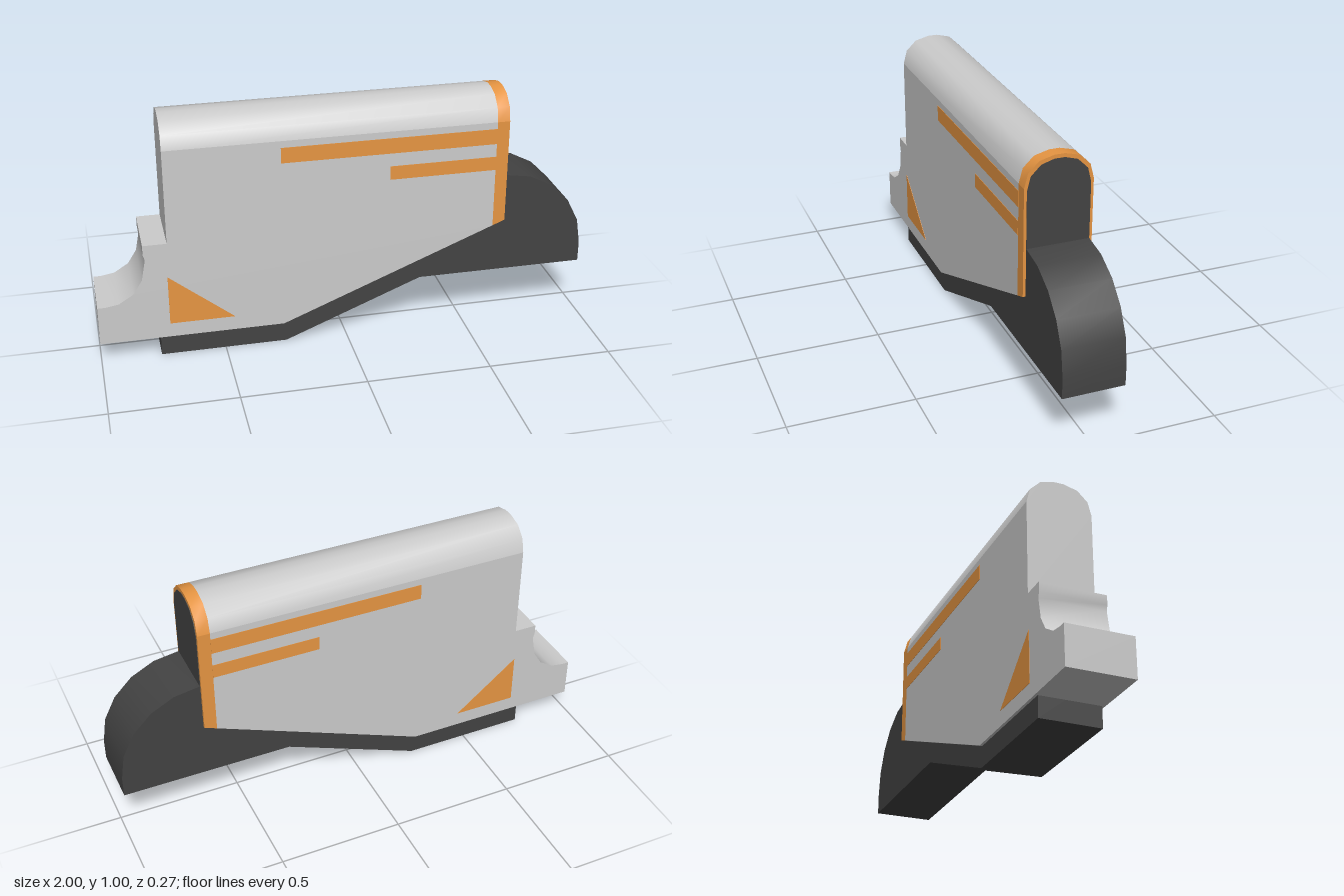
import * as THREE from 'three';
import { toCreasedNormals } from 'three/addons/utils/BufferGeometryUtils.js';

const grey = new THREE.MeshStandardMaterial({ color: 0xcccccc });
const orange = new THREE.MeshStandardMaterial({ color: 0xe69542 });
const dark = new THREE.MeshStandardMaterial({ color: 0x434343 });

const BODY_W = 0.268;   // width of the outer shell
const CORE_W = 0.246;   // width of the dark core
const DECAL_W = BODY_W + 0.003;

function extrude(points, depth) {
  const shape = new THREE.Shape(points.map(([x, y]) => new THREE.Vector2(x, y)));
  return new THREE.ExtrudeGeometry(shape, { depth, bevelEnabled: false });
}

function addMesh(group, name, geometry, material, crease) {
  const mesh = new THREE.Mesh(toCreasedNormals(geometry, crease), material);
  mesh.name = name;
  group.add(mesh);
}

// side profile (x, y) given a width, centred on z
function addProfile(group, name, points, width, material, crease = 0.36) {
  const geometry = extrude(points, width);
  geometry.translate(0, 0, -width / 2);
  addMesh(group, name, geometry, material, crease);
}

// cross-section (z, y) run along x
function addRun(group, name, points, x0, x1, material) {
  const geometry = extrude(points, x1 - x0);
  geometry.rotateY(Math.PI / 2);
  geometry.translate(x0, 0, 0);
  addMesh(group, name, geometry, material, 0.65);
}

// right half of an arch mirrored into a closed section
const mirror = (half) => [...half, ...half.map(([z, y]) => [-z, y]).reverse()];

export function createModel() {
  const model = new THREE.Group();
  model.name = 'model';

  const roof = mirror([[BODY_W / 2, 0.887], [0.119, 0.944], [0.077, 0.985], [0.02, 1]]);
  const coreEnd = mirror([[CORE_W / 2, 0.45], [CORE_W / 2, 0.875], [0.109, 0.931], [0.07, 0.97], [0.02, 0.985]]);

  // grey shell with a scooped tail
  addProfile(model, 'shellSides', [
    [-1, 0.085], [-0.26, 0.085], [0.61, 0.435], [0.61, 0.887], [-0.715, 0.887],
    [-0.715, 0.5], [-0.81, 0.5], [-0.81, 0.46], [-0.803, 0.437], [-0.82, 0.35],
    [-0.856, 0.293], [-0.915, 0.256], [-0.97, 0.247], [-1, 0.247],
  ], BODY_W, grey, 0.5);
  addRun(model, 'shellRoof', roof, -0.715, 0.61, grey);

  // orange band round the open end of the shell
  addProfile(model, 'bandSides', [[0.61, 0.435], [0.66, 0.455], [0.66, 0.887], [0.61, 0.887]], BODY_W, orange);
  addRun(model, 'bandRoof', roof, 0.61, 0.66, orange);

  // dark core with its rounded nose
  const nose = [];
  for (let i = 0; i <= 5; i++) {
    const a = (i / 5) * Math.PI / 2;
    nose.push([0.66 + 0.34 * Math.cos(a), 0.31 + 0.34 * Math.sin(a)]);
  }
  addProfile(model, 'core', [
    [-0.76, 0], [-0.25, 0], [0.31, 0.225], [1, 0.225], ...nose, [0.6, 0.65], [-0.76, 0.2],
  ], CORE_W, dark);
  addRun(model, 'coreEnd', coreEnd, 0.6, 0.662, dark);

  // orange markings, showing on both sides
  for (const [name, x, y0, y1] of [['upperStripe', -0.26, 0.795, 0.859], ['lowerStripe', 0.175, 0.683, 0.74]]) {
    addProfile(model, name, [[x, y0], [0.61, y0], [0.61, y1], [x, y1]], DECAL_W, orange);
  }
  addProfile(model, 'triangleMark', [[-0.72, 0.145], [-0.46, 0.145], [-0.72, 0.353]], DECAL_W, orange);

  return model;
}
